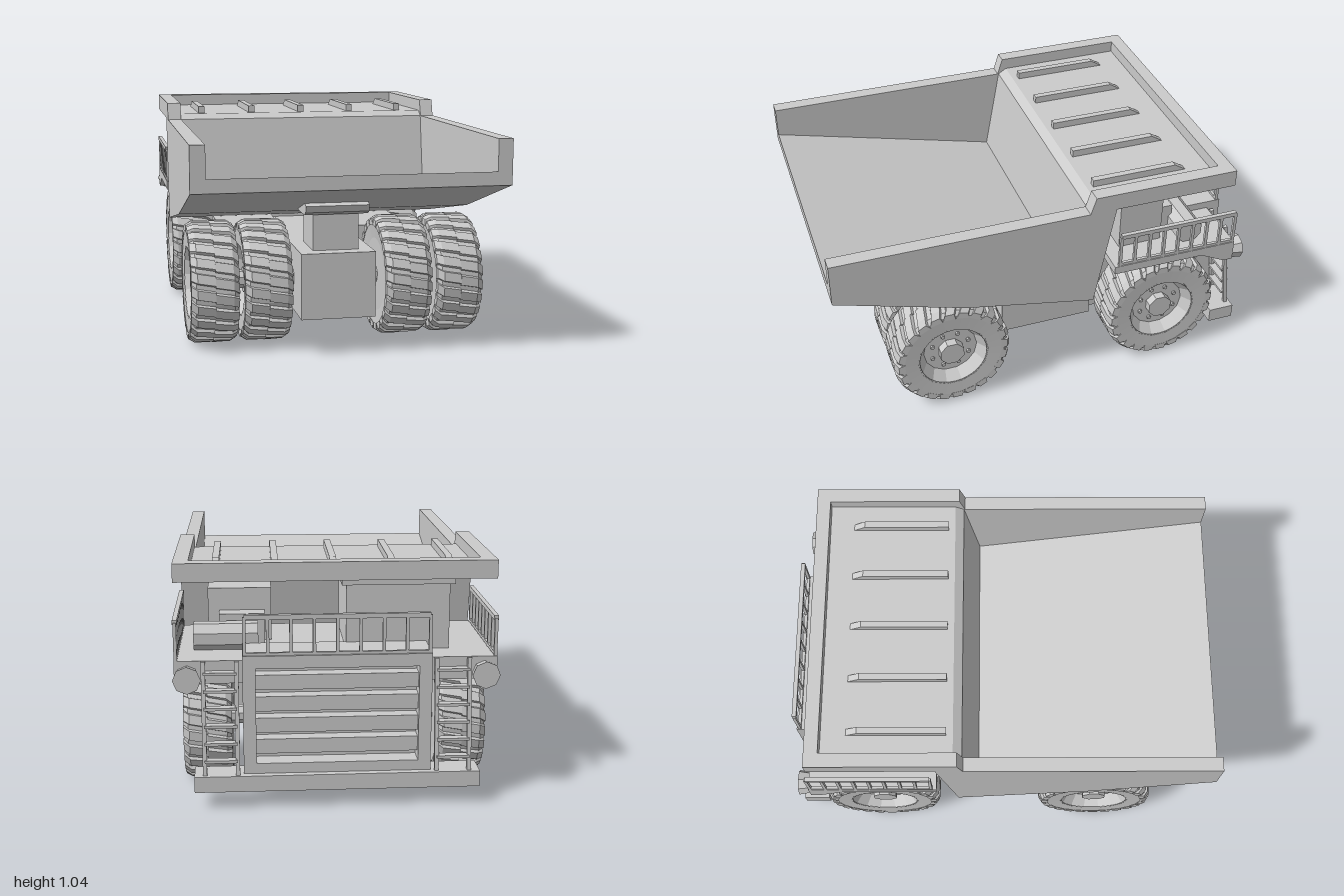
import * as THREE from 'three';
import { mergeGeometries } from 'three/addons/utils/BufferGeometryUtils.js';

const mat = new THREE.MeshStandardMaterial({ color: 0xcccccc, flatShading: true, side: THREE.DoubleSide });

function add(parent, name, geo) {
  const m = new THREE.Mesh(geo, mat);
  m.name = name;
  parent.add(m);
  return m;
}

// Box given by its min / max along each axis
function box(x0, x1, y0, y1, z0, z1) {
  return new THREE.BoxGeometry(x1 - x0, y1 - y0, z1 - z0)
    .translate((x0 + x1) / 2, (y0 + y1) / 2, (z0 + z1) / 2);
}

// Side profile of [z, y] points, extruded from x0 to x1
function profileX(pts, x0, x1) {
  const shape = new THREE.Shape(pts.map(p => new THREE.Vector2(...p)));
  return new THREE.ExtrudeGeometry(shape, { depth: x1 - x0, bevelEnabled: false })
    .rotateY(-Math.PI / 2).translate(x1, 0, 0);
}

// Square bar between two points
function bar(a, b, t = 0.014) {
  const A = new THREE.Vector3(...a), B = new THREE.Vector3(...b);
  const d = B.clone().sub(A);
  const q = new THREE.Quaternion().setFromUnitVectors(new THREE.Vector3(0, 1, 0), d.clone().normalize());
  return new THREE.BoxGeometry(t, d.length(), t).applyQuaternion(q)
    .translate((A.x + B.x) / 2, (A.y + B.y) / 2, (A.z + B.z) / 2);
}

// Horizontal railing with evenly spaced posts
function railing(a, b, height, posts) {
  const up = (p, h) => [p[0], p[1] + h, p[2]];
  const parts = [bar(up(a, height), up(b, height), 0.02), bar(up(a, 0.02), up(b, 0.02))];
  for (let i = 0; i < posts; i++) {
    const p = a.map((v, k) => v + (b[k] - v) * i / (posts - 1));
    parts.push(bar(p, up(p, height)));
  }
  return mergeGeometries(parts);
}

// Cylinder lying along x, and a lathe around x
const cylX = (r, len, n) => new THREE.CylinderGeometry(r, r, len, n).rotateY(Math.PI / n).rotateZ(-Math.PI / 2);
const latheX = (pts, n) => new THREE.LatheGeometry(pts.map(p => new THREE.Vector2(...p)), n).rotateZ(-Math.PI / 2);

// Tyre with staggered skewed lugs, dished rim, hub and bolts; outer face is +x
function makeWheel(name) {
  const g = new THREE.Group();
  g.name = name;
  add(g, 'tyre', latheX([[0, -0.095], [0.17, -0.095], [0.245, -0.104], [0.264, -0.085], [0.264, 0.085],
    [0.245, 0.104], [0.16, 0.1]], 32));
  add(g, 'rim', latheX([[0.168, 0.101], [0.128, 0.045], [0, 0.045]], 14));
  // Each half lug has an inner, a shoulder and an outer cross-section
  const lugs = [], n = 24;
  for (const s of [1, -1]) {
    const lug = new THREE.BoxGeometry(0.106, 0.03, 0.052, 2, 1, 1);
    const p = lug.attributes.position;
    for (let i = 0; i < p.count; i++) {
      const u = p.getX(i) * s / 0.053, top = p.getY(i) > 0;
      const skew = s * u * 0.014;
      p.setZ(i, p.getZ(i) * (top ? 0.8 : 1.1) + skew);
      if (Math.abs(u) < 0.01) p.setX(i, s * 0.026);
      if (u > 0.9) p.setY(i, p.getY(i) - 0.017);
    }
    lug.translate(s * 0.053, 0.2615, 0);
    for (let i = 0; i < n; i++) lugs.push(lug.clone().rotateX((i + (s > 0 ? 0 : 0.5)) * 2 * Math.PI / n));
  }
  add(g, 'treadLugs', mergeGeometries(lugs));
  add(g, 'hub', cylX(0.06, 0.05, 8).translate(0.06, 0, 0));
  const bolts = [];
  for (let i = 0; i < 8; i++) {
    const a = (i + 0.5) * Math.PI / 4;
    bolts.push(cylX(0.01, 0.015, 6).translate(0.048, Math.cos(a) * 0.093, Math.sin(a) * 0.093));
  }
  add(g, 'wheelBolts', mergeGeometries(bolts));
  return g;
}

function makeBed() {
  const g = new THREE.Group();
  g.name = 'dumpBed';
  const under = [[1, 0.76], [0.41, 0.58], [-0.2, 0.46], [-0.29, 0.96], [-0.868, 0.96]];
  // Floor, front wall and canopy plate
  add(g, 'bedFloor', profileX([[1, 0.82], ...under, [-0.868, 0.985], [-0.21, 0.985], [-0.17, 0.96], [-0.1, 0.55]], -0.62, 0.62));
  const side = [[1, 0.96], ...under, [-0.868, 1.04], [-0.19, 1.04], [-0.165, 0.96]];
  add(g, 'bedSideRight', profileX(side, -0.685, -0.62));
  add(g, 'bedSideLeft', profileX(side, 0.62, 0.685));
  add(g, 'canopyRim', box(-0.62, 0.62, 0.97, 1.04, -0.868, -0.805));
  for (let i = -2; i <= 2; i++) {
    const x = i * 0.255;
    add(g, 'canopyRib', profileX([[-0.24, 0.98], [-0.24, 1.018], [-0.64, 1.018], [-0.7, 0.98]], x - 0.015, x + 0.015));
  }
  return g;
}

function makeGrille() {
  const g = new THREE.Group();
  g.name = 'grille';
  const rect = (C, x, y0, y1) => new C([[-x, y0], [x, y0], [x, y1], [-x, y1]].map(p => new THREE.Vector2(...p)));
  const frame = rect(THREE.Shape, 0.4, 0.145, 0.665);
  frame.holes.push(rect(THREE.Path, 0.345, 0.19, 0.61));
  add(g, 'grilleFrame', new THREE.ExtrudeGeometry(frame, { depth: 0.09, bevelEnabled: false }).translate(0, 0, -0.97));
  for (let i = 0; i < 4; i++) {
    const y = 0.225 + i * 0.095;
    add(g, 'grilleSlat', box(-0.345, 0.345, y, y + 0.065, -0.945, -0.885));
  }
  return g;
}

// Ladder, lamp, side railing and deck wing for one side (s = 1 or -1)
function makeSideAccess(s) {
  const g = new THREE.Group();
  g.name = s > 0 ? 'leftAccess' : 'rightAccess';
  const parts = [];
  for (const x of [0.425, 0.565]) parts.push(bar([s * x, 0.14, -0.978], [s * x, 0.63, -0.92], 0.018));
  for (let i = 0; i < 6; i++) {
    const y = 0.2 + i * 0.075, z = -0.971 + i * 0.009;
    parts.push(box(s * 0.495 - 0.07, s * 0.495 + 0.07, y, y + 0.012, z - 0.015, z + 0.02));
  }
  add(g, 'ladder', mergeGeometries(parts));
  add(g, 'sideRailing', railing([s * 0.68, 0.62, -0.325], [s * 0.68, 0.62, -0.895], 0.175, 9));
  add(g, 'headlamp', new THREE.CylinderGeometry(0.06, 0.05, 0.055, 8).rotateX(-Math.PI / 2).translate(s * 0.633, 0.56, -0.93));
  // Deck wing with drooping front lip
  add(g, 'deckWing', profileX([[-0.3, 0.63], [-0.3, 0.59], [-0.74, 0.59], [-0.86, 0.53], [-0.905, 0.53], [-0.905, 0.63]],
    s > 0 ? 0.38 : -0.688, s > 0 ? 0.688 : -0.38));
  return g;
}

export function createModel() {
  const truck = new THREE.Group();
  truck.name = 'dumpTruck';
  truck.add(makeBed(), makeGrille());

  // Chassis, tanks and axles
  add(truck, 'chassis', box(-0.17, 0.17, 0.13, 0.43, -0.88, 0.69));
  for (const s of [1, -1]) add(truck, 'sideTank', box(s * 0.31 - 0.15, s * 0.31 + 0.15, 0.18, 0.455, -0.28, 0.17));
  add(truck, 'rearAxle', cylX(0.043, 1, 8).translate(0, 0.28, 0.47));
  add(truck, 'frontAxle', cylX(0.043, 1, 8).translate(0, 0.28, -0.575));
  add(truck, 'bedHingePost', box(-0.105, 0.105, 0.42, 0.62, 0.4, 0.62));
  add(truck, 'bedHinge', profileX([[0.67, 0.64], [0.66, 0.61], [0.63, 0.595], [0.45, 0.595], [0.45, 0.62], [0.62, 0.655]], -0.145, 0.145));

  // Engine body, deck and bumper
  add(truck, 'engineBody', box(-0.38, 0.38, 0.145, 0.63, -0.885, -0.3));
  add(truck, 'bumper', box(-0.61, 0.61, 0.075, 0.145, -1, -0.875));
  add(truck, 'hoodTop', box(-0.4, 0.4, 0.6, 0.665, -0.9, -0.76));
  add(truck, 'frontRailing', railing([-0.39, 0.65, -0.955], [0.39, 0.65, -0.955], 0.18, 9));
  truck.add(makeSideAccess(1), makeSideAccess(-1));

  // Cab and the equipment beside it
  add(truck, 'cab', box(-0.5, -0.05, 0.62, 0.93, -0.77, -0.33));
  add(truck, 'cabRoof', box(-0.52, -0.03, 0.92, 0.955, -0.785, -0.31));
  add(truck, 'equipmentBox', box(0.27, 0.55, 0.62, 0.87, -0.585, -0.375));
  add(truck, 'equipmentStep', box(0.3, 0.5, 0.62, 0.77, -0.66, -0.58));
  add(truck, 'airCleaner', cylX(0.065, 0.28, 8).translate(0.47, 0.685, -0.705));

  // Single front wheels and dual rear wheels
  for (const s of [1, -1]) {
    for (const [name, x, z] of [['frontWheel', 0.555, -0.575], ['rearOuterWheel', 0.555, 0.47], ['rearInnerWheel', 0.318, 0.47]]) {
      const w = makeWheel(name);
      w.position.set(s * x, 0.278, z);
      if (s < 0) w.rotation.y = Math.PI;
      truck.add(w);
    }
  }
  return truck;
}
